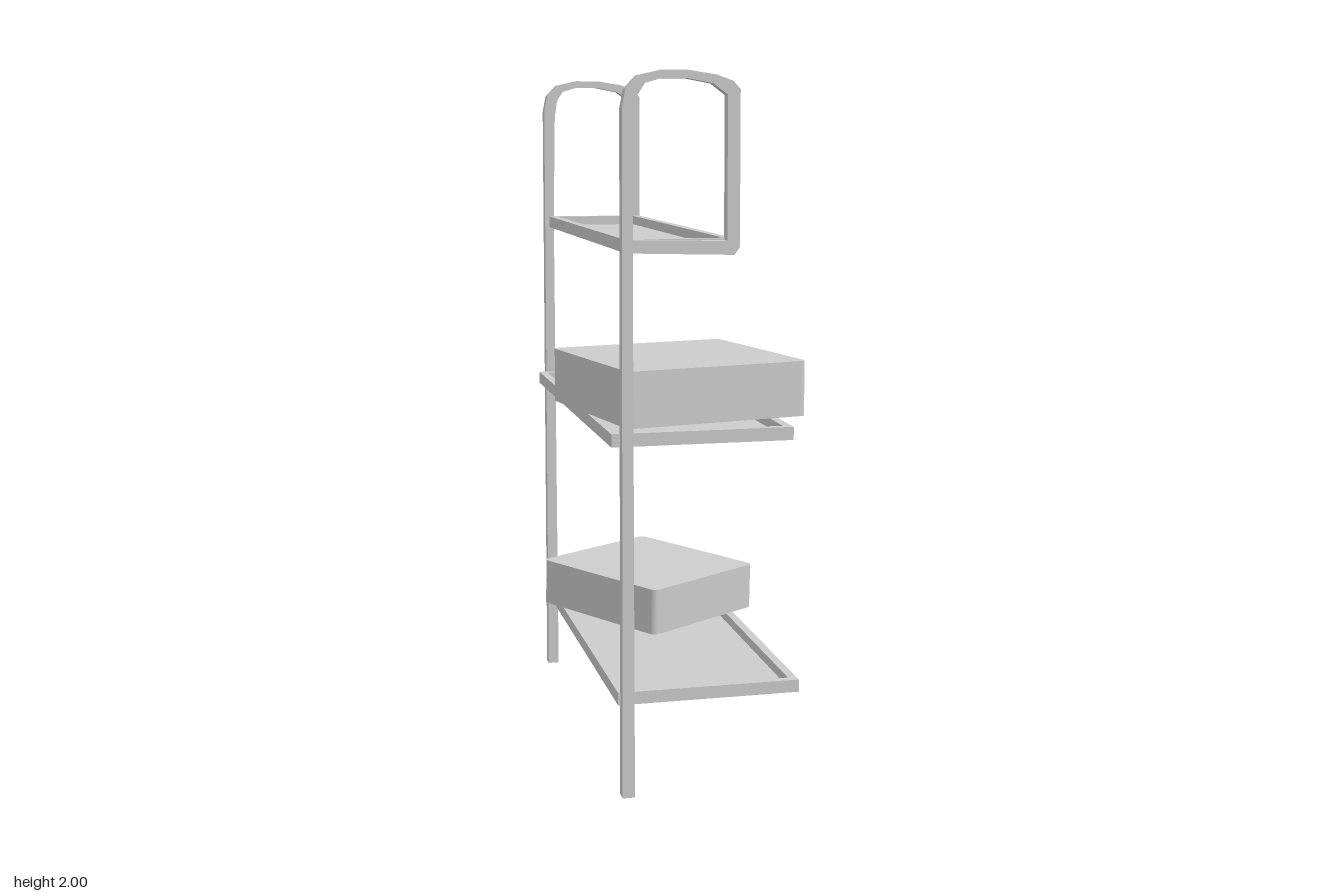
import * as THREE from 'three';

const material = new THREE.MeshStandardMaterial({ color: 0xcccccc });

function add(parent, name, geometry, x = 0, y = 0, z = 0) {
  const mesh = new THREE.Mesh(geometry, material);
  mesh.name = name;
  mesh.position.set(x, y, z);
  parent.add(mesh);
  return mesh;
}

const polygon = (points) => points.map(([x, y]) => new THREE.Vector2(x, y));
const extrude = (shape, depth) =>
  new THREE.ExtrudeGeometry(shape, { depth, bevelEnabled: false, curveSegments: 4 });
const rect = (x0, x1, z) => polygon([[x0, -z], [x1, -z], [x1, z], [x0, z]]);

// Flat-topped block with rounded upright corners, standing on y = 0
function roundedBlock(w, h, d, r) {
  const s = new THREE.Shape();
  const a = w / 2, b = d / 2;
  s.absarc(a - r, b - r, r, 0, Math.PI / 2);
  s.absarc(-a + r, b - r, r, Math.PI / 2, Math.PI);
  s.absarc(-a + r, -b + r, r, Math.PI, Math.PI * 1.5);
  s.absarc(a - r, -b + r, r, Math.PI * 1.5, Math.PI * 2);
  return extrude(s, h).rotateX(-Math.PI / 2);
}

// Shallow tray: raised rim around a thin floor
function addTray(parent, name, x0, x1, y, height) {
  const tray = new THREE.Group();
  tray.name = name;
  const rim = 0.025, halfZ = 0.63;
  const frame = new THREE.Shape(rect(x0, x1, halfZ));
  frame.holes.push(new THREE.Path(rect(x0 + rim, x1 - rim, halfZ - rim)));
  add(tray, 'trayRim', extrude(frame, height).rotateX(-Math.PI / 2), 0, y, 0);
  add(tray, 'trayFloor', new THREE.BoxGeometry(x1 - x0 - 0.01, 0.008, 2 * halfZ - 0.01),
    (x0 + x1) / 2, y + 0.004, 0);
  parent.add(tray);
}

// End frame: a full-height post that bends over into a hoop
function addEndFrame(parent, side) {
  const outer = new THREE.Shape(polygon([
    [-0.315, 0], [-0.28, 0], [-0.28, 1.518], [0, 1.51], [0.015, 1.53], [0.015, 1.95],
    [-0.005, 1.972], [-0.05, 1.988], [-0.13, 2], [-0.2, 2], [-0.265, 1.985], [-0.298, 1.95],
    [-0.308, 1.9]]));
  outer.holes.push(new THREE.Path(polygon([
    [-0.28, 1.553], [-0.02, 1.548], [-0.02, 1.935], [-0.06, 1.965], [-0.13, 1.978],
    [-0.2, 1.978], [-0.245, 1.965], [-0.265, 1.935], [-0.273, 1.88]])));
  add(parent, side > 0 ? 'frontEndFrame' : 'backEndFrame',
    extrude(outer, 0.035), 0, 0, side > 0 ? 0.627 : -0.662);
}

function createPhone() {
  const phone = new THREE.Group();
  phone.name = 'telephone';
  add(phone, 'phoneBase', roundedBlock(0.355, 0.03, 0.365, 0.012));

  // Sloping keypad housing and lower handset cradle
  const profile = new THREE.Shape(polygon([
    [-0.176, 0.02], [0.176, 0.02], [0.172, 0.04], [0.07, 0.05], [0.06, 0.1], [-0.176, 0.05]]));
  add(phone, 'phoneHousing', extrude(profile, 0.335).rotateY(-Math.PI / 2), 0.1675, 0, 0);

  // Keys, lying on the slope
  const face = new THREE.Group();
  face.name = 'keypad';
  face.position.set(0, 0.0745, -0.058);
  face.rotation.x = -0.209;
  phone.add(face);
  const key = new THREE.BoxGeometry(0.033, 0.014, 0.024);
  const smallKey = new THREE.BoxGeometry(0.03, 0.008, 0.012);
  for (let row = 0; row < 4; row++) {
    for (let col = 0; col < 3; col++) {
      add(face, 'key', key, 0.045 + col * 0.046, 0.005, 0.085 - row * 0.037);
    }
    add(face, 'memoryKey', smallKey, -0.005, 0.004, 0.085 - row * 0.037);
  }
  add(face, 'functionKey', key, 0.02, 0.003, -0.08);
  add(face, 'functionKey', new THREE.BoxGeometry(0.05, 0.012, 0.024), 0.075, 0.003, -0.08);
  add(face, 'functionKey', key, 0.135, 0.003, -0.08);
  add(face, 'labelPanel', new THREE.BoxGeometry(0.1, 0.008, 0.18), -0.095, 0.002, 0);

  // Handset: curved grip with a round cup at each end
  const handset = new THREE.Group();
  handset.name = 'handset';
  handset.position.z = 0.116;
  const grip = new THREE.CatmullRomCurve3([[-0.135, 0.075], [-0.09, 0.087], [0, 0.093],
    [0.09, 0.087], [0.135, 0.075]].map(([x, y]) => new THREE.Vector3(x, y, 0)));
  add(handset, 'grip', new THREE.TubeGeometry(grip, 16, 0.019, 10));
  for (const s of [-1, 1]) {
    add(handset, 'cup', new THREE.CylinderGeometry(0.042, 0.046, 0.03, 20), s * 0.121, 0.057, 0);
    const dome = add(handset, 'cupDome',
      new THREE.SphereGeometry(0.042, 20, 8, 0, Math.PI * 2, 0, Math.PI / 2), s * 0.121, 0.072, 0);
    dome.scale.y = 0.8;
  }
  phone.add(handset);
  return phone;
}

// Coiled cord: a tube whose rings alternate between thick and thin
function createCord() {
  const curve = new THREE.CatmullRomCurve3([
    [0.2, 1.05, -0.31], [0.265, 1.03, -0.315], [0.33, 0.96, -0.33], [0.372, 0.888, -0.39],
    [0.364, 0.893, -0.46], [0.32, 0.96, -0.495], [0.265, 1.01, -0.45], [0.215, 1.03, -0.37],
  ].map((p) => new THREE.Vector3(...p)));
  const rings = 180, sides = 8;
  const geometry = new THREE.TubeGeometry(curve, rings, 0.012, sides);
  const pos = geometry.attributes.position;
  const p = new THREE.Vector3();
  for (let i = 0; i <= rings; i++) {
    const centre = curve.getPointAt(i / rings);
    const scale = 0.88 + 0.2 * Math.cos(i * Math.PI / 2);
    for (let j = 0; j <= sides; j++) {
      const k = i * (sides + 1) + j;
      p.fromBufferAttribute(pos, k).sub(centre).multiplyScalar(scale).add(centre);
      pos.setXYZ(k, p.x, p.y, p.z);
    }
  }
  geometry.computeVertexNormals();
  return geometry;
}

export function createModel() {
  const model = new THREE.Group();
  model.name = 'shelfRack';

  for (const side of [-1, 1]) addEndFrame(model, side);
  addTray(model, 'topTray', -0.295, 0.01, 1.517, 0.036);
  addTray(model, 'middleTray', -0.335, 0.182, 0.99, 0.037);
  addTray(model, 'bottomTray', -0.32, 0.205, 0.26, 0.036);

  // Boxes resting on the tray rims
  const upperBox = add(model, 'upperBox', roundedBlock(0.56, 0.16, 0.58, 0.02), -0.058, 1.027, 0.226);
  upperBox.rotation.y = 0.2;
  const lowerBox = add(model, 'lowerBox', roundedBlock(0.46, 0.143, 0.505, 0.02), -0.048, 0.303, -0.23);
  lowerBox.rotation.set(0.025, 0.585, 0, 'YXZ');

  // Telephone with its cord hanging over the tray edge
  const phone = createPhone();
  phone.position.set(0.05, 1.028, -0.385);
  phone.rotation.y = 0.23;
  model.add(phone);
  add(model, 'cord', createCord());

  return model;
}
